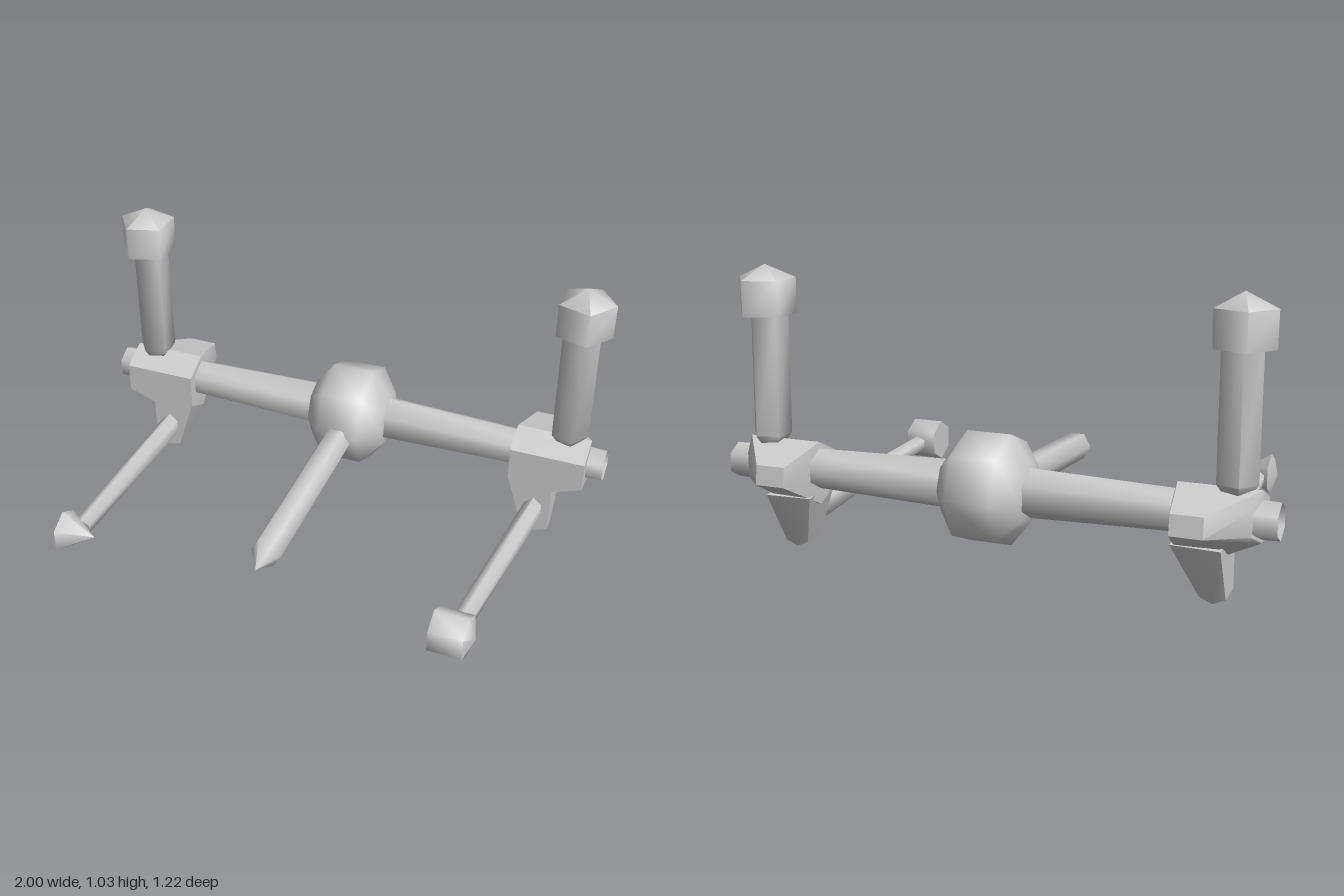
import * as THREE from 'three';
import { toCreasedNormals } from 'three/addons/utils/BufferGeometryUtils.js';
import { ConvexGeometry } from 'three/addons/geometries/ConvexGeometry.js';

const grey = new THREE.MeshStandardMaterial({ color: 0xcccccc });
const greyOpen = new THREE.MeshStandardMaterial({ color: 0xcccccc, side: THREE.DoubleSide });

// Skins polygon sections [x, y, z, radiusU, radiusV] strung along an axis.
// U, V are the two axes that follow the main one: x -> (y, z), y -> (z, x), z -> (x, y).
function loft(name, axis, sides, phase, sections, material = grey) {
  const rows = [...sections].sort((a, b) => a[axis] - b[axis]);
  const u = (axis + 1) % 3, v = (axis + 2) % 3;
  const point = (s, i) => {
    const a = phase + (i % sides) * 2 * Math.PI / sides;
    const p = s.slice(0, 3);
    p[u] += Math.cos(a) * s[3];
    p[v] += Math.sin(a) * (s[4] ?? s[3]);
    return p;
  };
  const pos = [];
  for (let k = 0; k < rows.length - 1; k++) {
    const [lo, hi] = [rows[k], rows[k + 1]];
    for (let i = 0; i < sides; i++) {
      const a = point(lo, i), b = point(lo, i + 1), c = point(hi, i + 1), d = point(hi, i);
      if (lo[3] > 0) pos.push(...a, ...b, ...c);
      if (hi[3] > 0) pos.push(...a, ...c, ...d);
      else if (lo[3] > 0) continue;
    }
  }
  const g = new THREE.BufferGeometry();
  g.setAttribute('position', new THREE.Float32BufferAttribute(pos, 3));
  const mesh = new THREE.Mesh(toCreasedNormals(g, 1.3), material);
  mesh.name = name;
  return mesh;
}

// Convex block around a few corner points, mirrored by side
function hull(name, side, corners) {
  const g = new ConvexGeometry(corners.map(([x, y, z]) => new THREE.Vector3(side * x, y, z)));
  const mesh = new THREE.Mesh(toCreasedNormals(g, 0.7), grey);
  mesh.name = name;
  return mesh;
}

function createSide(s) {
  const side = new THREE.Group();
  side.name = s > 0 ? 'leftSide' : 'rightSide';

  // Open tapered cross arm, its end stub showing past the bracket
  side.add(loft('crossArm', 0, 6, 0, [
    [s * 0.13, 0.313, -0.413, 0.088], [s, 0.313, -0.41, 0.064],
  ], greyOpen));

  // Bracket: hexagonal block with a tapered rear bump
  side.add(hull('bracketBlock', s, [
    [0.66, 0.41, -0.41], [0.66, 0.36, -0.31], [0.66, 0.23, -0.31],
    [0.66, 0.18, -0.41], [0.66, 0.235, -0.46], [0.66, 0.37, -0.46],
    [0.83, 0.18, -0.40], [0.83, 0.21, -0.31],
    [0.94, 0.41, -0.41], [0.94, 0.36, -0.31], [0.94, 0.25, -0.31],
    [0.94, 0.235, -0.41], [0.92, 0.27, -0.47], [0.92, 0.36, -0.47],
    [0.82, 0.35, -0.56], [0.82, 0.27, -0.56],
    [0.69, 0.36, -0.60], [0.80, 0.36, -0.60], [0.69, 0.29, -0.61], [0.80, 0.29, -0.61],
  ]));
  // Foot dropping from the bracket to the ground
  side.add(hull('bracketFoot', s, [
    [0.66, 0.24, -0.31], [0.83, 0.24, -0.31], [0.66, 0.22, -0.49], [0.83, 0.22, -0.50],
    [0.727, 0.03, -0.31], [0.83, 0.035, -0.31], [0.78, 0.015, -0.31],
    [0.735, 0.02, -0.39], [0.825, 0.02, -0.39], [0.78, 0, -0.39],
  ]));

  // Forward rod and its hexagonal end piece
  side.add(loft('forwardRod', 2, 6, Math.PI / 6, [
    [s * 0.768, 0.107, -0.34, 0.038, 0.058], [s * 0.715, 0.186, 0.5, 0.037, 0.03],
  ]));
  side.add(loft('rodEnd', 0, 6, 0, [
    [s * 0.64, 0.19, 0.54, 0], [s * 0.64, 0.19, 0.54, 0.08],
    [s * 0.762, 0.19, 0.54, 0.08], [s * 0.787, 0.19, 0.54, 0],
  ]));

  // Five-sided post with a pointed cap
  const out = s * Math.PI / 2;
  side.add(loft('post', 1, 5, out, [
    [s * 0.854, 0.39, -0.41, 0], [s * 0.854, 0.395, -0.41, 0.05],
    [s * 0.854, 0.425, -0.41, 0.071], [s * 0.854, 0.88, -0.401, 0.071],
  ]));
  side.add(loft('postCap', 1, 5, out, [
    [s * 0.86, 0.858, -0.403, 0], [s * 0.86, 0.858, -0.403, 0.105],
    [s * 0.86, 0.985, -0.403, 0.107], [s * 0.86, 1.035, -0.403, 0],
  ]));
  return side;
}

export function createModel() {
  const model = new THREE.Group();
  model.name = 'frame';

  // Central eight-sided hub
  const hub = [[0.16, 0], [0.15, 0.105], [0.08, 0.195]];
  model.add(loft('hub', 0, 8, 0, [
    ...hub.map(([x, r]) => [-x, 0.313, -0.408, r]),
    ...hub.map(([x, r]) => [x, 0.313, -0.408, r]),
  ]));

  // Pointed central probe
  model.add(loft('probe', 2, 6, 0, [
    [0, 0.297, -0.4, 0.056], [0, 0.25, 0.455, 0.056], [0, 0.245, 0.55, 0],
  ]));

  for (const s of [1, -1]) model.add(createSide(s));
  return model;
}
